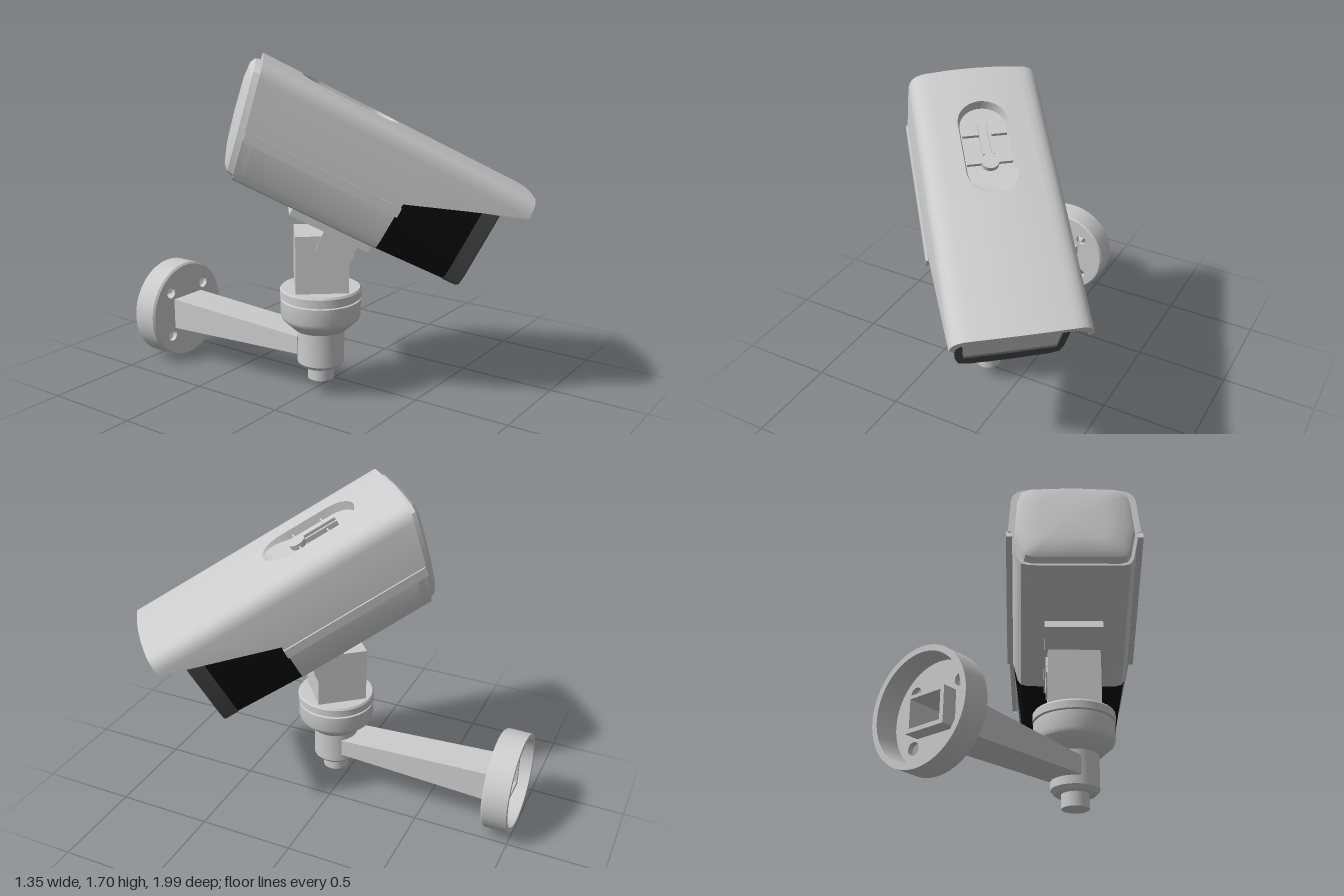
import * as THREE from 'three';
import { toCreasedNormals } from 'three/addons/utils/BufferGeometryUtils.js';

const mat = (color = 0xcccccc, double = false) => new THREE.MeshStandardMaterial({
  color, side: double ? THREE.DoubleSide : THREE.FrontSide });

function add(parent, name, geo, x = 0, y = 0, z = 0, material = mat()) {
  const m = new THREE.Mesh(geo, material);
  m.name = name;
  m.position.set(x, y, z);
  parent.add(m);
  return m;
}

// Skin a list of closed cross-section loops; skip(i, j) leaves a quad open
function loft(loops, crease = 0.6, skip = () => false) {
  const n = loops[0].length, idx = [];
  for (let i = 0; i < loops.length - 1; i++) for (let j = 0; j < n; j++) {
    if (skip(i, j)) continue;
    const k = (j + 1) % n, a = i * n + j, b = i * n + k, c = b + n, d = a + n;
    idx.push(a, b, c, a, c, d);
  }
  const g = new THREE.BufferGeometry();
  g.setAttribute('position', new THREE.Float32BufferAttribute(loops.flat(2), 3));
  g.setIndex(idx);
  return toCreasedNormals(g, crease);
}

// Mirror a half outline that runs from bottom centre to top centre
const mirror = h => [...h, ...h.slice(1, -1).reverse().map(([x, y]) => [-x, y])];
// Place an outline at depth z (number or rule of y), scaled about its middle
const at = (o, z, s = 1) => o.map(([x, y]) => {
  const yy = 0.045 + (y - 0.045) * s;
  return [x * s, yy, typeof z === 'function' ? z(yy) : z];
});
const rect = (w, y0, y1, z) => [[w, y0, z], [w, y1, z], [-w, y1, z], [-w, y0, z]];

const WIN = { x: 0.22, z0: -0.3, z1: 0.27 };    // roof panel holding the recess
const backZ = y => -0.405 - 0.2 * y;            // slanted rear end
// Height of the hood roof, in facets that match the hood's columns
const crown = x => {
  const a = Math.abs(x);
  return a < 0.11 ? 0.347 - 0.0275 * a : 0.344 - 0.0825 * (a - 0.11);
};

function hoodGeometry() {
  const section = (low, zAt, lip) => {
    const corner = new THREE.QuadraticBezierCurve(new THREE.Vector2(0.316, 0.255),
      new THREE.Vector2(0.309, 0.33), new THREE.Vector2(WIN.x, crown(WIN.x)));
    const half = [[0.329 - 0.05 * low, low], ...corner.getPoints(5).map(p => [p.x, p.y]),
      [0.11, crown(0.11)], [0, crown(0)]];
    const outer = [...half, ...half.slice(0, -1).reverse().map(([x, y]) => [-x, y])];
    const inner = outer.map(([x, y], i) => [x * 0.93, i % 16 ? y - 0.024 : y]);
    const loop = [...(lip ? inner : outer), ...inner.slice().reverse()];
    return loop.map(([x, y]) => [x, y, zAt(x, y)]);
  };
  const back = (x, y) => backZ(y);
  const front = x => 0.955 - 0.14 * x * x;
  const flat = z => () => z;
  return loft([
    section(0.02, back, true), section(0.02, back),
    section(0.02, flat(WIN.z0)), section(0.02, flat(WIN.z1)),
    section(0.02, flat(0.376)), section(0.045, flat(0.378)), section(0.142, flat(0.65)),
    section(0.245, front), section(0.245, front, true),
  ], 0.6, (i, j) => i === 2 && ((j >= 6 && j < 10) || (j >= 23 && j < 27)));
}

// Roof panel with a sunken round-ended basin that ramps out at the front
function recessGeometry() {
  const { x: w, z0, z1 } = WIN, c = [[w, z1], [w, z0], [-w, z0], [-w, z1]], R = 0.121;
  const ring = [], zc = -0.015;
  c.forEach(([x, z], i) => {
    const [x2, z2] = c[(i + 1) % 4];
    for (let k = 0; k < 20; k++) ring.push([x + (x2 - x) * k / 20, z + (z2 - z) * k / 20]);
  });
  const core = ring.map(([, z]) => [0, zc + THREE.MathUtils.clamp(z - zc, -0.135, 0.135)]);
  const rim = ring.map(([x, z], i) => {
    const dz = z - core[i][1], l = Math.hypot(x, dz);
    return [x / l * R, core[i][1] + dz / l * R];
  });
  const mix = (a, b, t) => a.map((p, i) => [p[0] + (b[i][0] - p[0]) * t, p[1] + (b[i][1] - p[1]) * t]);
  const floorY = z => 0.341 - 0.04 * THREE.MathUtils.clamp((0.24 - z) / 0.16, 0, 1);
  const loops = [0, 0.25, 0.5, 0.75, 1].map(t => mix(ring, rim, t).map(([x, z]) => [x, crown(x), z]));
  for (const t of [0.08, 0.5, 1])
    loops.push(mix(rim, core, t).map(([x, z]) => [x, Math.min(floorY(z), crown(x) - 0.003), z]));
  return loft(loops, 0.5);
}

function createHead() {
  const head = new THREE.Group();
  head.name = 'cameraHead';
  const bodyOutline = mirror([[0, -0.215], [0.225, -0.215], [0.262, -0.202], [0.28, -0.165], [0.31, 0],
    [0.29, 0.2], [0.27, 0.25], [0.22, 0.28], [0, 0.287]]);
  const frontOutline = mirror([[0, -0.217], [0.2, -0.21], [0.245, -0.195], [0.26, -0.145], [0.274, 0.03],
    [0.287, 0.2], [0.284, 0.255], [0.25, 0.285], [0, 0.298]]);
  const glassOutline = mirror([[0, -0.14], [0.2, -0.137], [0.222, -0.135], [0.223, -0.13], [0.234, 0.03],
    [0.244, 0.2], [0.246, 0.225], [0.243, 0.23], [0, 0.233]]);
  const capOutline = mirror([[0, -0.215], [0.225, -0.215], [0.262, -0.202], [0.28, -0.165], [0.312, 0],
    [0.3, 0.24], [0.285, 0.29], [0.23, 0.318], [0, 0.33]]);

  add(head, 'body', loft([at(bodyOutline, backZ), at(bodyOutline, 0.376)]));
  // Domed rear cap: [bulge, scale] from the middle out to the rim
  const dome = [[0.066, 0], [0.062, 0.55], [0.05, 0.82], [0.03, 0.92], [0, 0.95], [0, 1], [-0.05, 1]];
  add(head, 'rearCap', loft(dome.map(([d, s]) => at(capOutline, y => backZ(y) - d, s)), 0.5));

  // Black band, dark window frame and glass
  add(head, 'blackBand', loft([at(bodyOutline, 0.376, 0.1), at(bodyOutline, 0.376, 0.99),
    at(frontOutline, 0.745, 0.99)]), 0, 0, 0, mat(0x0a0a0a));
  add(head, 'windowFrame', loft([at(frontOutline, 0.74, 0.9), at(frontOutline, 0.74),
    at(frontOutline, 0.815), at(frontOutline, 0.822, 0.98), at(glassOutline, 0.822),
    at(glassOutline, 0.808)], 0.4), 0, 0, 0, mat(0x484848));
  add(head, 'glass', loft([at(glassOutline, 0.812), at(glassOutline, 0.812, 0)]));

  // Sun hood, its seam flanges and the roof recess
  add(head, 'sunHood', hoodGeometry(), 0, 0, 0, mat(0xcccccc, true));
  for (const s of [-1, 1])
    add(head, 'seamFlange', new THREE.BoxGeometry(0.035, 0.047, 0.785), s * 0.319, 0.002, -0.012);
  add(head, 'roofRecess', recessGeometry(), 0, 0, 0, mat(0xcccccc, true));
  add(head, 'recessKnob', new THREE.CylinderGeometry(0.042, 0.042, 0.03, 24), 0, 0.315, 0.06);
  for (const s of [-1, 1]) {
    add(head, 'recessRail', new THREE.BoxGeometry(0.012, 0.03, 0.18), s * 0.022, 0.312, -0.07);
    add(head, 'recessRib', new THREE.BoxGeometry(0.08, 0.02, 0.008), s * 0.066, 0.308, -0.1);
    add(head, 'recessRib', new THREE.BoxGeometry(0.07, 0.02, 0.008), s * 0.073, 0.308, 0.06);
  }

  // Mounting foot and hinge knuckle
  add(head, 'mountPlate', new THREE.BoxGeometry(0.29, 0.06, 0.42), 0, -0.235, 0.17);
  add(head, 'hingeCheek', new THREE.BoxGeometry(0.275, 0.1, 0.18), 0, -0.29, 0.235);
  const knuckle = new THREE.CylinderGeometry(0.098, 0.098, 0.275, 8).rotateY(Math.PI / 8);
  add(head, 'hingeKnuckle', toCreasedNormals(knuckle.rotateZ(Math.PI / 2), 0.3), 0, -0.345, 0.24);
  return head;
}

function createWallMount(parent, x) {
  const mount = new THREE.Group();
  mount.name = 'wallMount';
  mount.position.set(x, 0.263, 0);
  parent.add(mount);
  // Hollow round plate with four screw holes and an opening into the arm
  const disc = new THREE.Shape().absarc(0, 0, 0.25, 0, Math.PI * 2);
  for (const sx of [-1, 1]) for (const sy of [-1, 1])
    disc.holes.push(new THREE.Path().absarc(sx * 0.126, sy * 0.122, 0.03, 0, Math.PI * 2, true));
  disc.holes.push(new THREE.Path([[-0.085, -0.065], [-0.085, 0.065], [0.085, 0.065], [0.085, -0.065]]
    .map(p => new THREE.Vector2(...p))));
  add(mount, 'wallPlate', new THREE.ExtrudeGeometry(disc,
    { depth: 0.025, bevelEnabled: false, curveSegments: 24 }), 0, 0, -0.89);
  const rim = [[0.236, -0.885], [0.236, -1], [0.263, -1], [0.263, -0.875], [0.253, -0.865], [0.235, -0.865]]
    .map(p => new THREE.Vector2(...p));
  add(mount, 'plateRim', toCreasedNormals(new THREE.LatheGeometry(rim, 64), 0.5).rotateX(Math.PI / 2));
  // Tapered hollow arm
  add(mount, 'arm', loft([rect(0.085, -0.065, 0.06, -0.45), rect(0.085, -0.065, 0.065, -0.96),
    rect(0.105, -0.084, 0.08, -0.96), rect(0.105, -0.084, 0.08, -0.86),
    rect(0.095, -0.05, 0.042, -0.03), rect(0, 0, 0, -0.03)], 0.2), 0, 0, 0, mat(0xcccccc, true));
}

export function createModel() {
  const model = new THREE.Group();
  model.name = 'securityCamera';
  const px = -0.183, pz = 0.047;
  createWallMount(model, px);

  // Turned post with collar and bottom pin
  const profile = [[0, 0.08], [0.067, 0.08], [0.067, 0.15], [0.1, 0.15], [0.118, 0.17], [0.118, 0.34],
    [0.133, 0.345], [0.193, 0.4], [0.2, 0.42], [0.2, 0.5], [0.19, 0.503], [0.19, 0.51],
    [0.203, 0.513], [0.203, 0.55], [0.196, 0.56], [0, 0.56]].map(p => new THREE.Vector2(...p));
  add(model, 'post', toCreasedNormals(new THREE.LatheGeometry(profile, 48), 0.5), px, 0, pz);

  // Swivelling neck and tilted camera head
  const swivel = new THREE.Group();
  swivel.name = 'swivel';
  swivel.position.set(px, 0, pz);
  swivel.rotation.y = THREE.MathUtils.degToRad(39.5);
  model.add(swivel);
  add(swivel, 'neck', new THREE.BoxGeometry(0.258, 0.295, 0.258), 0, 0.7, 0);
  const head = createHead();
  head.position.y = 1.176;
  head.rotation.x = THREE.MathUtils.degToRad(27.2);
  swivel.add(head);
  return model;
}
